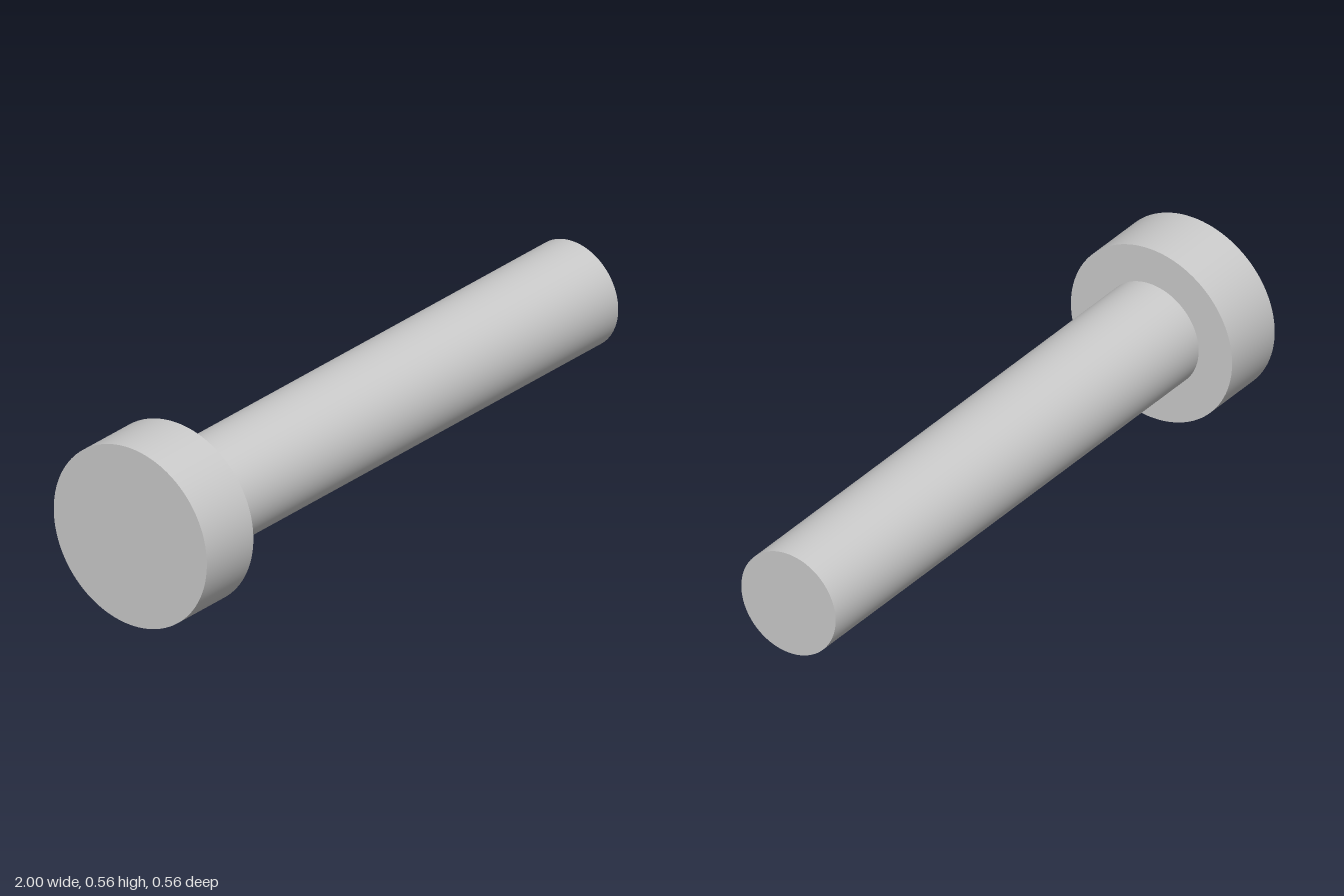
import * as THREE from 'three';

const HEAD_RADIUS = 0.282;
const SHANK_RADIUS = 0.165;
const HEAD_END = -0.79; // x where the head meets the shank

export function createModel() {
  const group = new THREE.Group();
  group.name = 'headedPin';
  const material = new THREE.MeshStandardMaterial({ color: 0xcccccc });

  // Solid round bar lying along x, from x0 to x1
  function addBar(name, radius, x0, x1) {
    const geometry = new THREE.CylinderGeometry(radius, radius, x1 - x0, 128);
    geometry.rotateZ(-Math.PI / 2);
    const mesh = new THREE.Mesh(geometry, material);
    mesh.name = name;
    mesh.position.set((x0 + x1) / 2, HEAD_RADIUS, 0);
    group.add(mesh);
  }

  // Wide flat head on the right end, plain shank to the left end
  addBar('head', HEAD_RADIUS, -1, HEAD_END);
  addBar('shank', SHANK_RADIUS, HEAD_END, 1);

  return group;
}
